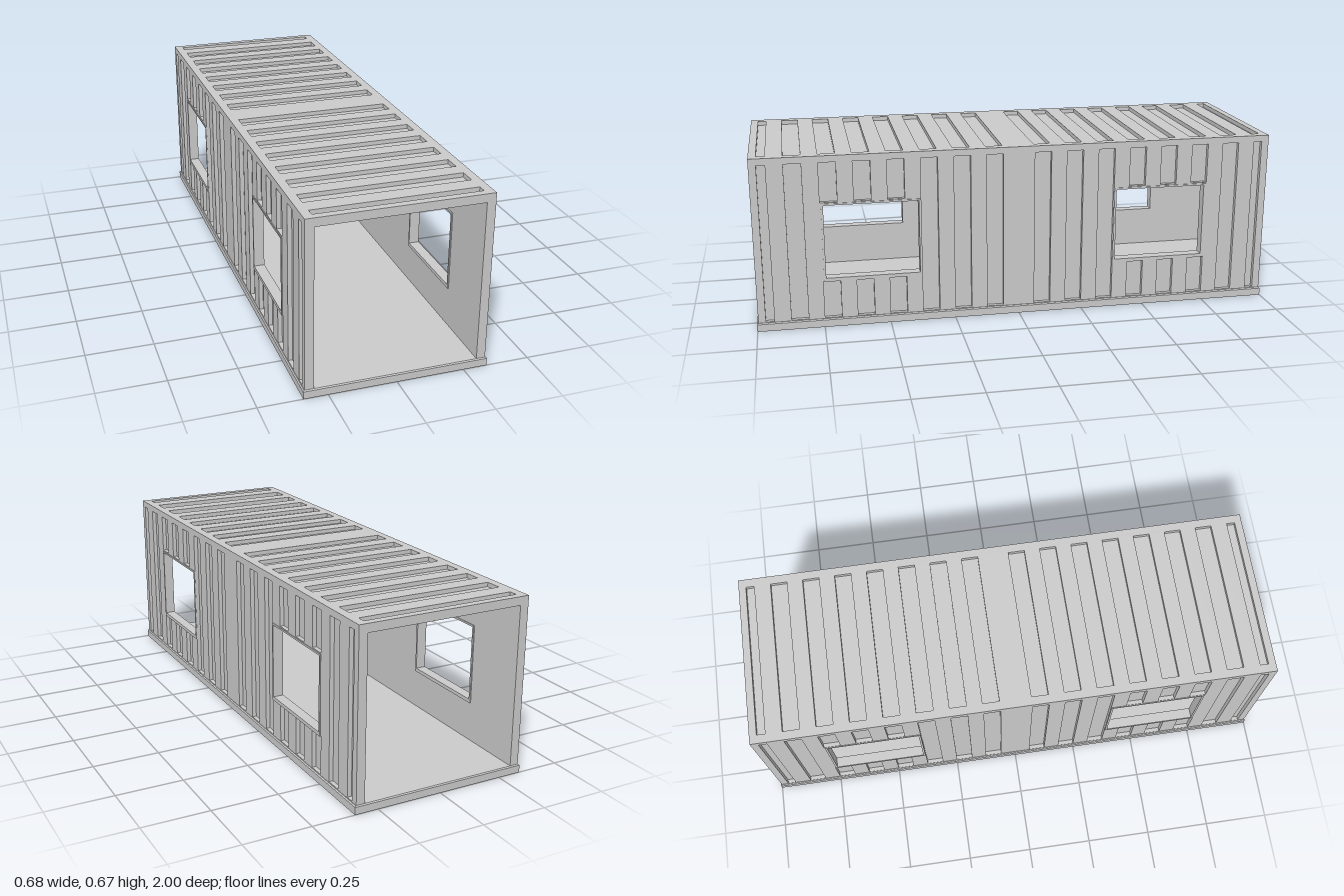
import * as THREE from 'three';

const material = new THREE.MeshStandardMaterial({ color: 0xcccccc, flatShading: true });

const HALF_LEN = 0.996;   // half length of the shell
const OUT = 0.333, MID = 0.317, IN = 0.3; // outer face, groove floor, inner face
const TOP = 0.665, FLOOR = 0.03;
const WIN = { z: 0.56, half: 0.177, lo: 0.194, hi: 0.477 };

// Rectangle as a path, given as [u0, v0, u1, v1]
function rect([u0, v0, u1, v1], Type = THREE.Path) {
  const p = new Type();
  p.moveTo(u0, v0);
  p.lineTo(u1, v0);
  p.lineTo(u1, v1);
  p.lineTo(u0, v1);
  p.closePath();
  return p;
}

// Flat plate with rectangular holes, extruded from local z = from to z = to
function plate(name, outline, holes, from, to) {
  const shape = rect(outline, THREE.Shape);
  shape.holes = holes.map((h) => rect(h));
  const geo = new THREE.ExtrudeGeometry(shape, { depth: to - from, bevelEnabled: false });
  geo.translate(0, 0, from);
  const mesh = new THREE.Mesh(geo, material);
  mesh.name = name;
  return mesh;
}

// Groove spans along the length: seven wide ones and a narrow end one per half
const grooves = [];
for (const side of [-1, 1]) {
  for (let i = 0; i < 8; i++) {
    const c = side * (i < 7 ? 0.0925 + i * 0.1247 : 0.952);
    const h = i < 7 ? 0.032 : 0.016;
    grooves.push([c - h, c + h]);
  }
}

function sideWall(name) {
  const wall = new THREE.Group();
  wall.name = name;
  const windows = [-1, 1].map((s) => [
    s * WIN.z - WIN.half, WIN.lo, s * WIN.z + WIN.half, WIN.hi]);

  // Grooves above and below the windows are cut short
  const cuts = [];
  for (const [a, b] of grooves) {
    const atWindow = Math.abs(Math.abs((a + b) / 2) - WIN.z) < WIN.half;
    if (atWindow) cuts.push([a, 0.035, b, 0.182], [a, 0.488, b, 0.64]);
    else cuts.push([a, 0.035, b, 0.64]);
  }
  wall.add(plate('wallLining', [-HALF_LEN, FLOOR, HALF_LEN, TOP - 0.016], windows, IN, MID));
  wall.add(plate('wallGroovedSkin', [-HALF_LEN, FLOOR, HALF_LEN, TOP], [...windows, ...cuts], MID, OUT));

  // Window frames stand slightly proud on both faces
  for (const w of windows) {
    const outer = [w[0] - 0.008, 0.18, w[2] + 0.008, 0.484];
    wall.add(plate('windowFrame', outer, [w], 0.296, 0.336));
  }
  return wall;
}

function roof() {
  const group = new THREE.Group();
  group.name = 'roof';
  const cuts = grooves.map(([a, b]) => [-0.3, a, 0.3, b]);
  group.add(plate('roofLining', [-IN, -HALF_LEN, IN, HALF_LEN], [], 0.633, 0.649));
  group.add(plate('roofGroovedSkin', [-MID, -HALF_LEN, MID, HALF_LEN], cuts, 0.649, TOP));
  group.rotation.x = -Math.PI / 2;
  return group;
}

// Floor slab with a small chamfer around its top edge
function floorSlab() {
  const geo = new THREE.BoxGeometry(0.678, 0.032, 2, 1, 2, 1);
  const pos = geo.attributes.position;
  for (let i = 0; i < pos.count; i++) {
    const y = pos.getY(i);
    if (Math.abs(y) < 0.001) pos.setY(i, 0.012);
    if (y > 0.01) {
      pos.setX(i, pos.getX(i) - Math.sign(pos.getX(i)) * 0.004);
      pos.setZ(i, pos.getZ(i) - Math.sign(pos.getZ(i)) * 0.004);
    }
  }
  geo.translate(0, 0.016, 0);
  geo.computeVertexNormals();
  const mesh = new THREE.Mesh(geo, material);
  mesh.name = 'floorSlab';
  return mesh;
}

export function createModel() {
  const model = new THREE.Group();
  model.name = 'openEndedContainer';
  const left = sideWall('leftWall');
  left.rotation.y = Math.PI / 2;
  const right = sideWall('rightWall');
  right.rotation.y = -Math.PI / 2;
  model.add(floorSlab(), left, right, roof());
  return model;
}
